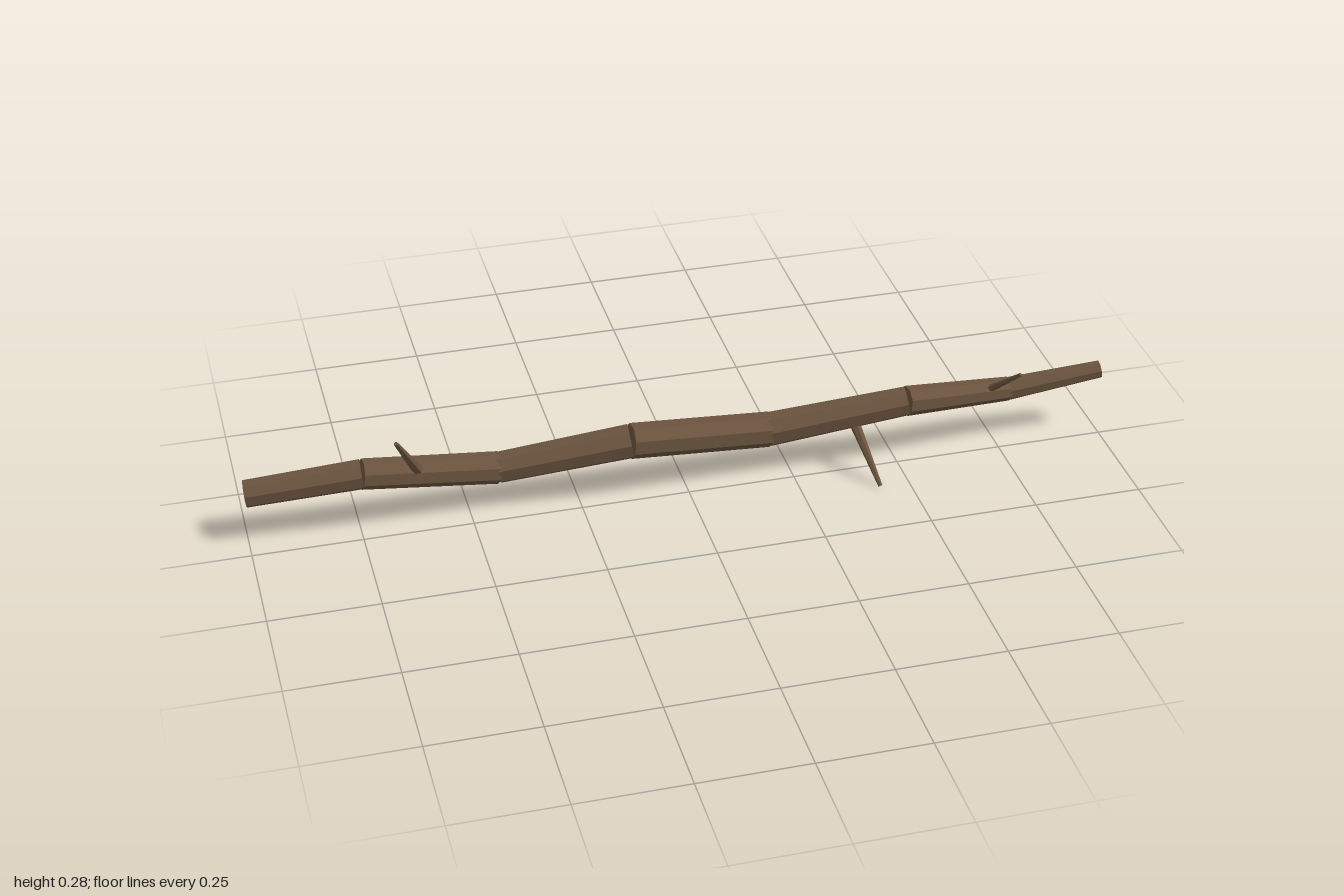
import * as THREE from 'three';

const bark = new THREE.MeshStandardMaterial({ color: 0x6b543f, flatShading: true });

// Tapered closed cylinder running from point a to point b
function limb(name, a, b, ra, rb, sides) {
  const from = new THREE.Vector3(...a), to = new THREE.Vector3(...b);
  const dir = to.clone().sub(from);
  const geo = new THREE.CylinderGeometry(rb, ra, dir.length(), sides, 1, false, Math.PI / sides);
  const mesh = new THREE.Mesh(geo, bark);
  mesh.name = name;
  mesh.position.copy(from).add(to).multiplyScalar(0.5);
  mesh.quaternion.setFromUnitVectors(new THREE.Vector3(0, 1, 0), dir.normalize());
  return mesh;
}

export function createModel() {
  const model = new THREE.Group();
  model.name = 'branch';

  // Crooked main stem: x, y, z, radius at each bend
  const bends = [
    [-0.998, 0.125, -0.062, 0.032],
    [-0.74, 0.149, -0.039, 0.035],
    [-0.43, 0.102, -0.059, 0.037],
    [-0.13, 0.146, -0.024, 0.041],
    [0.2, 0.111, -0.045, 0.041],
    [0.52, 0.157, -0.012, 0.035],
    [0.78, 0.133, -0.04, 0.028],
    [0.997, 0.166, -0.018, 0.021],
  ];
  for (let i = 0; i < bends.length - 1; i++) {
    const [p, q] = [bends[i], bends[i + 1]];
    model.add(limb(`stemSegment${i + 1}`, p.slice(0, 3), q.slice(0, 3), p[3], q[3], 8));
  }

  // Thin side twigs: base, tip, base radius, tip radius
  const twigs = [
    [[-0.617, 0.15, -0.025], [-0.671, 0.275, 0.052], 0.013, 0.005],
    [[0.395, 0.122, -0.018], [0.43, 0.004, 0.091], 0.013, 0.005],
    [[0.725, 0.152, -0.02], [0.776, 0.22, 0.041], 0.009, 0.004],
  ];
  twigs.forEach(([a, b, ra, rb], i) => model.add(limb(`twig${i + 1}`, a, b, ra, rb, 6)));

  return model;
}
